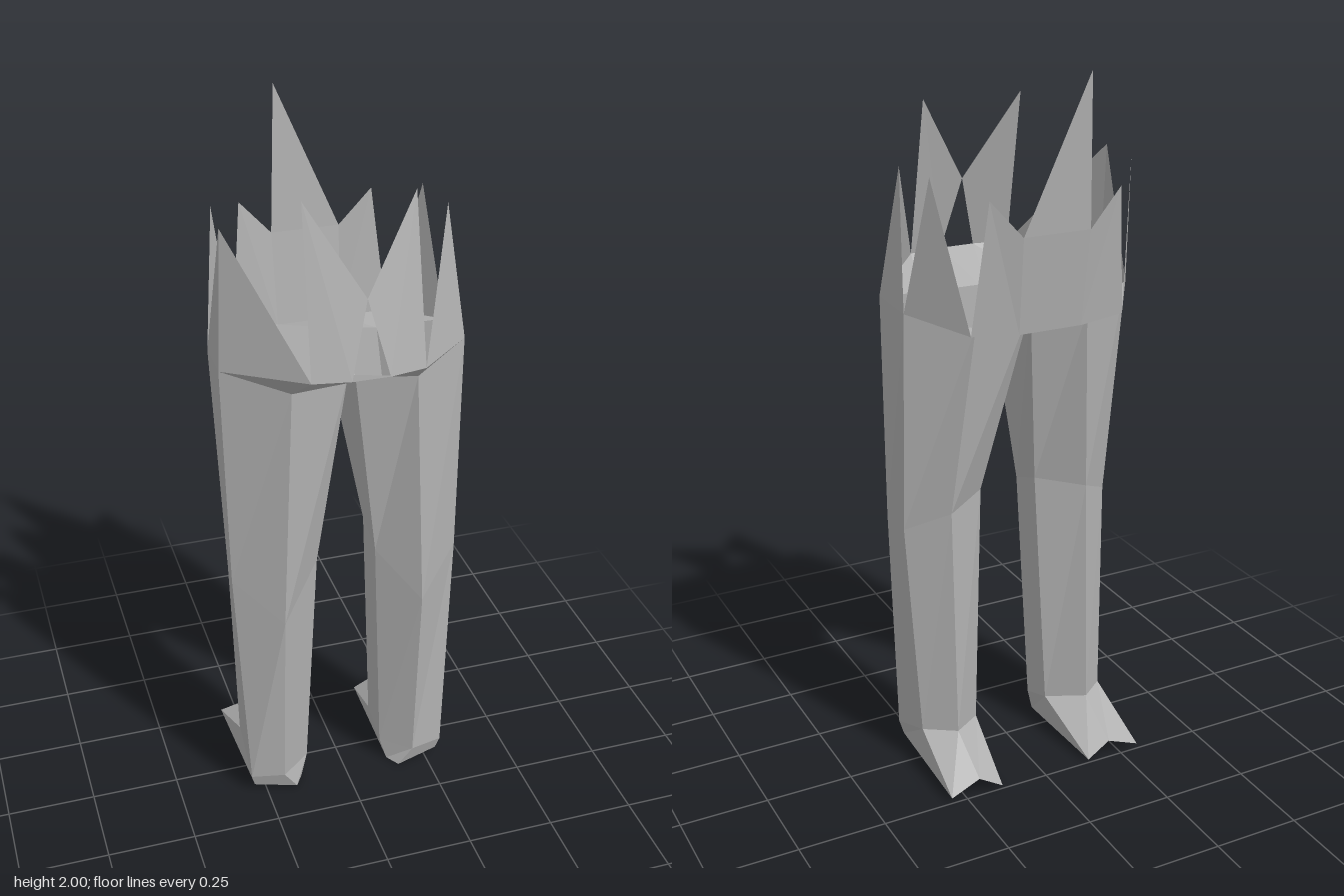
import * as THREE from 'three';

const grey = new THREE.MeshStandardMaterial({ color: 0xb0b0b0, flatShading: true, side: THREE.DoubleSide });
grey.name = 'grey';

// Flat-shaded mesh from convex faces, each a loop of [x, y, z] corners
function facesMesh(name, faces, mirrored = false) {
  const pos = [];
  for (const face of faces) {
    const loop = mirrored ? face.map(([x, y, z]) => [-x, y, z]).reverse() : face;
    for (let i = 1; i < loop.length - 1; i++) pos.push(...loop[0], ...loop[i], ...loop[i + 1]);
  }
  const geo = new THREE.BufferGeometry();
  geo.setAttribute('position', new THREE.Float32BufferAttribute(pos, 3));
  geo.computeVertexNormals();
  const mesh = new THREE.Mesh(geo, grey);
  mesh.name = name;
  return mesh;
}

// Quads between successive rings, listed from top to bottom
function loft(rings) {
  const faces = [];
  for (let r = 0; r < rings.length - 1; r++) {
    const up = rings[r], lo = rings[r + 1], n = up.length;
    for (let i = 0; i < n; i++) {
      const j = (i + 1) % n;
      faces.push([lo[i], lo[j], up[j], up[i]]);
    }
  }
  return faces;
}

// Leg rings: outer back, outer front, front, inner front, inner back, back
const thigh = [[.335, 1.39, .075], [.33, 1.38, -.07], [.165, 1.34, -.15], [0, 1.37, -.14], [.01, 1.36, .14], [.17, 1.35, .175]];
const knee = [[.325, .75, .09], [.315, .74, 0], [.21, .8, -.085], [.085, .82, -.01], [.085, .78, .1], [.2, .64, .18]];
const ankle = [[.295, .06, .12], [.29, .12, -.04], [.21, .13, -.11], [.115, .11, -.03], [.115, .07, .08], [.2, .06, .14]];
const sole = [[.285, .02, .11], [.3, .02, -.255], [.21, .05, -.245], [.14, .01, -.25], [.135, 0, .09], [.16, 0, .13]];
const [hipBack, hipFront, thighFront, crotchFront, crotchBack, thighBack] = thigh;

// Hem corners and the tips of the torn edge, on the +x side
const backInner = [.05, 1.43, .303], backOuter = [.15, 1.43, .285], notch = [0, 1.63, .265];
const frontOuter = [.22, 1.35, -.235], frontInner = [.09, 1.34, -.248], frontUpper = [.095, 1.6, -.28];
const backTip = [.145, 1.87, .195], sideTip = [.303, 1.745, 0];
const cornerTip = [.288, 1.745, -.15], frontTip = [.185, 1.7, -.272];
const flip = ([x, y, z]) => [-x, y, z];

export function createModel() {
  const model = new THREE.Group();
  model.name = 'tornLegs';

  for (const [side, mirrored] of [['left', false], ['right', true]]) {
    // Leg with foot, open at the top
    model.add(facesMesh(side + 'Leg', [...loft([thigh, knee, ankle, sole]), [...sole].reverse()], mirrored));

    // Spiked panels round the waist
    model.add(facesMesh(side + 'BackSpike', [[backInner, backOuter, backTip], [backInner, backTip, notch]], mirrored));
    model.add(facesMesh(side + 'SideSpike', [[backOuter, hipBack, sideTip], [hipBack, hipFront, sideTip]], mirrored));
    model.add(facesMesh(side + 'CornerSpike', [[hipFront, frontOuter, cornerTip]], mirrored));
    model.add(facesMesh(side + 'FrontSpike', [[frontOuter, frontInner, frontTip], [frontInner, frontUpper, frontTip]], mirrored));

    // Underside joining the flared hem to the thigh
    model.add(facesMesh(side + 'HemUnderside', [
      [backInner, crotchBack, thighBack],
      [backInner, thighBack, backOuter],
      [backOuter, thighBack, hipBack],
      [hipFront, thighFront, frontOuter],
      [frontOuter, thighFront, frontInner],
      [frontInner, thighFront, crotchFront],
    ], mirrored));
  }

  // Tall centre panel at the front
  const tallTip = [-.075, 2, -.308];
  model.add(facesMesh('tallFrontSpike', [
    [frontInner, flip(frontInner), flip(frontUpper)],
    [frontInner, flip(frontUpper), frontUpper],
    [frontUpper, flip(frontUpper), tallTip],
  ]));

  // Narrow strip between the legs
  model.add(facesMesh('crotch', [
    [crotchFront, flip(frontInner), frontInner],
    [crotchFront, crotchBack, flip(crotchBack)],
    [flip(backInner), flip(crotchBack), crotchBack, backInner],
  ]));
  return model;
}
